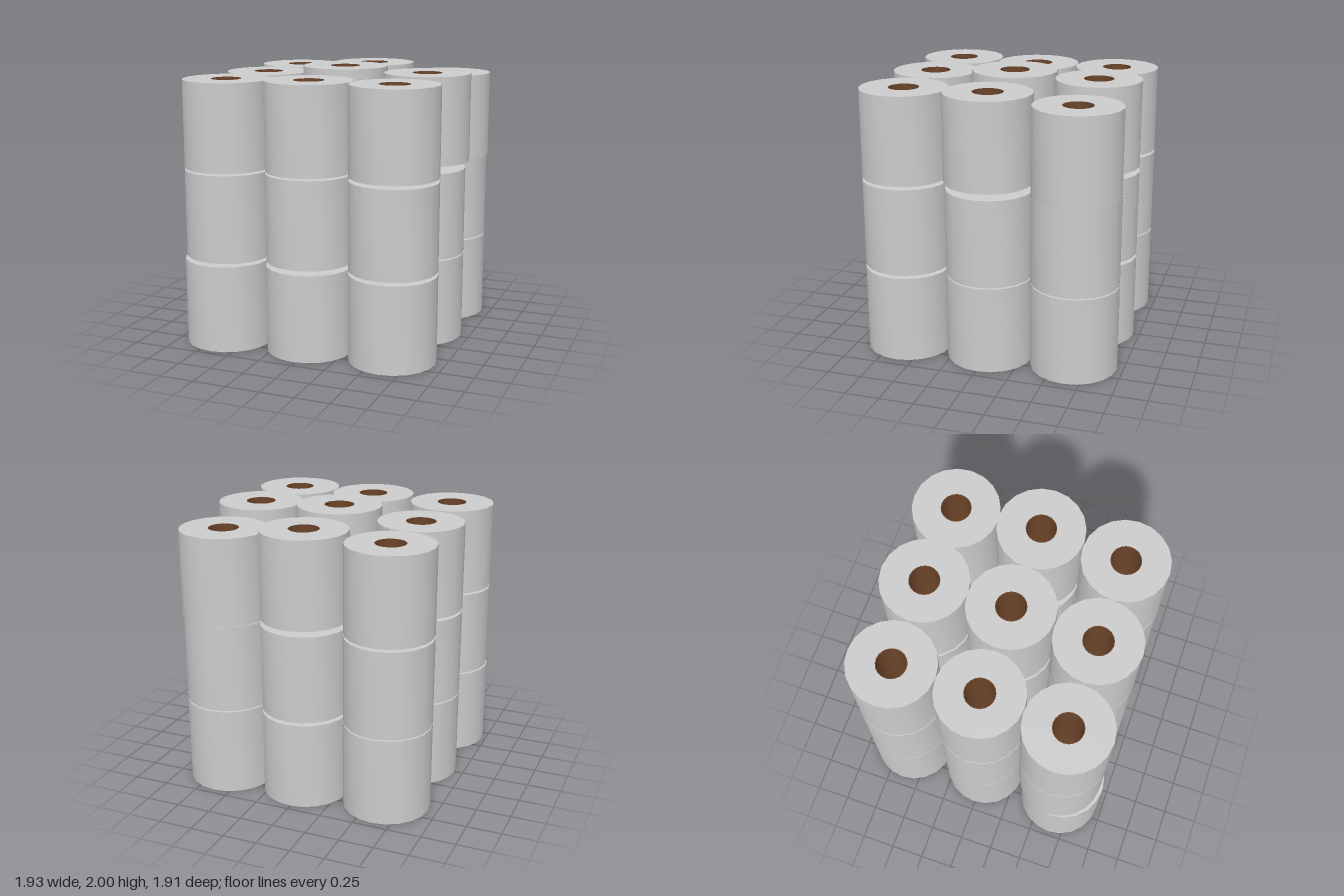
import * as THREE from 'three';
import { toCreasedNormals } from 'three/addons/utils/BufferGeometryUtils.js';

const HEIGHT = 0.635, OUTER = 0.315, HOLE = 0.11, BORE = 0.104;

// Upright hollow cylinder standing on y = 0, smooth around, sharp at the rims
function hollowCylinder(outer, inner, height, sides) {
  const shape = new THREE.Shape().absarc(0, 0, outer, 0, Math.PI * 2, false);
  shape.holes.push(new THREE.Path().absarc(0, 0, inner, 0, Math.PI * 2, true));
  const geometry = new THREE.ExtrudeGeometry(shape, {
    depth: height, bevelEnabled: false, curveSegments: sides / 2,
  });
  geometry.rotateX(-Math.PI / 2);
  return toCreasedNormals(geometry, 0.6);
}

export function createModel() {
  const model = new THREE.Group();
  model.name = 'stackedPaperRolls';

  const paper = new THREE.MeshStandardMaterial({ color: 0xcccccc });
  const card = new THREE.MeshStandardMaterial({ color: 0x6b4429 });
  const paperGeometry = hollowCylinder(OUTER, HOLE, HEIGHT, 20);
  const coreGeometry = hollowCylinder(HOLE, BORE, HEIGHT, 20);

  // Nine columns: x, z, then the base height of the middle and top roll
  const columns = [
    [-0.62, -0.64, 0.645, 1.30], [0.01, -0.64, 0.66, 1.335], [0.62, -0.64, 0.645, 1.28],
    [-0.62, -0.01, 0.645, 1.30], [0.01, -0.01, 0.67, 1.365], [0.62, -0.01, 0.645, 1.335],
    [-0.655, 0.62, 0.655, 1.305], [-0.015, 0.62, 0.67, 1.32], [0.615, 0.62, 0.66, 1.32],
  ];
  // Rolls that sit slightly off their column: [dx, dz] by column and layer
  const shifts = { '2,2': [0.01, 0], '5,2': [0.027, 0], '6,0': [0, 0.025] };

  columns.forEach(([x, z, middle, top], column) => {
    [0, middle, top].forEach((y, layer) => {
      const [dx, dz] = shifts[`${column},${layer}`] ?? [0, 0];
      const roll = new THREE.Group();
      roll.name = `roll${column + 1}Layer${layer + 1}`;
      roll.position.set(x + dx, y, z + dz);

      const body = new THREE.Mesh(paperGeometry, paper);
      body.name = 'paper';
      const core = new THREE.Mesh(coreGeometry, card);
      core.name = 'cardboardCore';
      roll.add(body, core);
      model.add(roll);
    });
  });
  return model;
}
